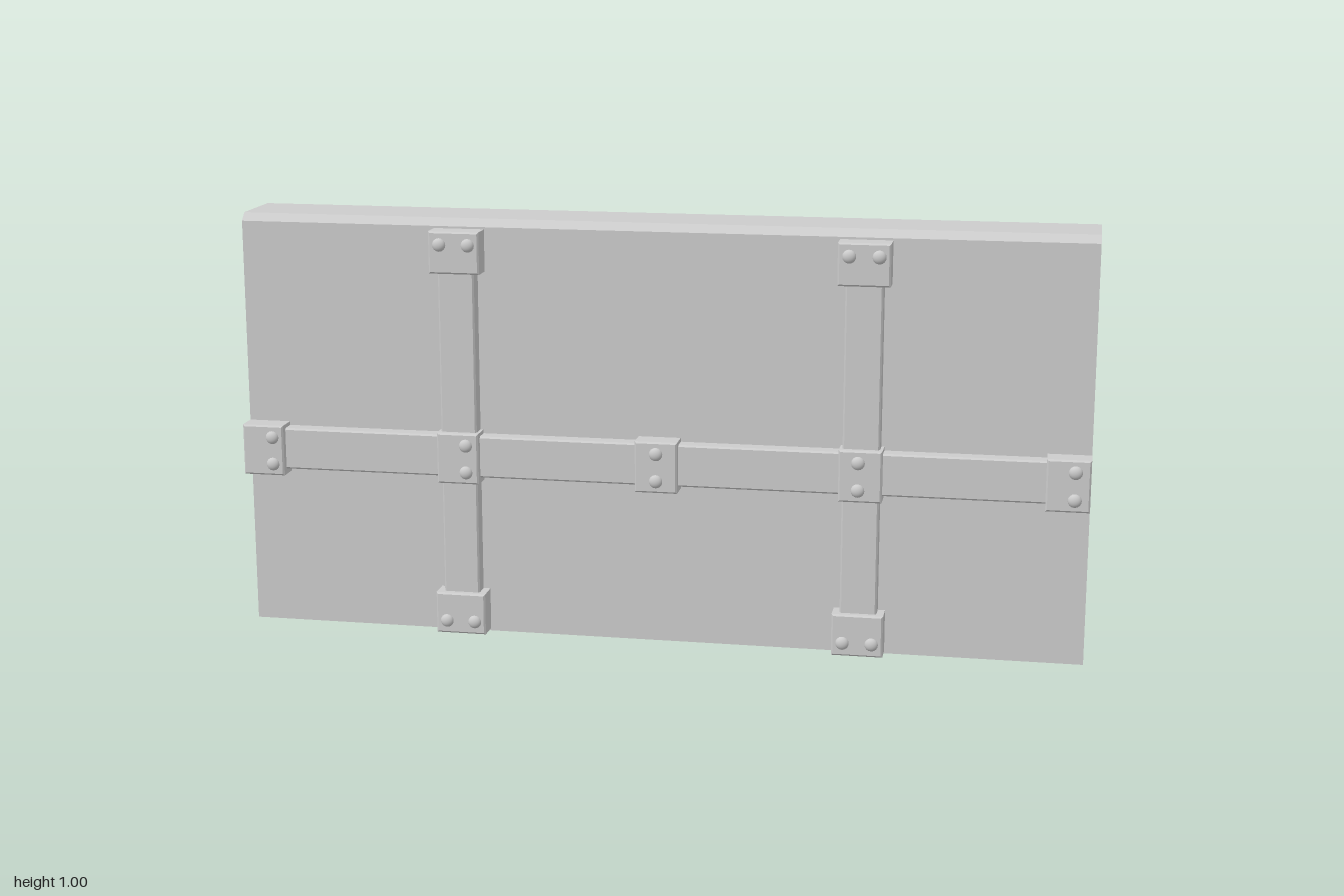
import * as THREE from 'three';

const grey = new THREE.MeshStandardMaterial({ color: 0xcccccc, flatShading: true });
const greySmooth = new THREE.MeshStandardMaterial({ color: 0xcccccc });
const greySheet = new THREE.MeshStandardMaterial({ color: 0xcccccc, flatShading: true, side: THREE.DoubleSide });

const WALL = 0.098; // distance of each sheet from the centre plane

// Box standing on z = 0 whose outer (+z) rim is chamfered by c
function chamferedBox(w, h, d, c = 0.004) {
  const geo = new THREE.BoxGeometry(w, h, d, 1, 1, 2);
  const p = geo.attributes.position;
  for (let i = 0; i < p.count; i++) {
    const z = p.getZ(i);
    if (z > d / 4) {
      p.setX(i, p.getX(i) - Math.sign(p.getX(i)) * c);
      p.setY(i, p.getY(i) - Math.sign(p.getY(i)) * c);
    } else if (Math.abs(z) < d / 4) p.setZ(i, d / 2 - c);
  }
  geo.translate(0, 0, d / 2);
  const flat = geo.toNonIndexed();
  flat.computeVertexNormals();
  return flat;
}

// Folded sheet: two walls joined by a top with chamfered edges, open at the ends and below
function foldedSheet() {
  const c = 0.018;
  const profile = [[WALL, 0], [WALL, 1 - c], [WALL - c, 1], [c - WALL, 1], [-WALL, 1 - c], [-WALL, 0]];
  const pos = [];
  for (let i = 0; i < profile.length - 1; i++) {
    const [z0, y0] = profile[i], [z1, y1] = profile[i + 1];
    pos.push(-1, y0, z0, 1, y0, z0, 1, y1, z1, -1, y0, z0, 1, y1, z1, -1, y1, z1);
  }
  const geo = new THREE.BufferGeometry();
  geo.setAttribute('position', new THREE.Float32BufferAttribute(pos, 3));
  geo.computeVertexNormals();
  return geo;
}

// Straps, brackets and rivets of one wall; s = -1 keeps x positions when the group is turned round
function strapwork(s) {
  const group = new THREE.Group();
  const boltGeo = new THREE.SphereGeometry(0.016, 16, 8, 0, Math.PI * 2, 0, Math.PI / 2);
  boltGeo.rotateX(Math.PI / 2).scale(1, 1, 0.7);

  const block = (name, x0, x1, y0, y1, d) => {
    const mesh = new THREE.Mesh(chamferedBox(x1 - x0, y1 - y0, d), grey);
    mesh.name = name;
    mesh.position.set((s * (x0 + x1)) / 2, (y0 + y1) / 2, WALL);
    group.add(mesh);
  };
  const bracket = (x0, x1, y0, y1, bolts) => {
    block('bracket', x0, x1, y0, y1, 0.054);
    for (const [x, y] of bolts) {
      const bolt = new THREE.Mesh(boltGeo, greySmooth);
      bolt.name = 'rivet';
      bolt.position.set(s * x, y, WALL + 0.053);
      group.add(bolt);
    }
  };

  // Horizontal strap and its brackets: [centre, rivet x]
  block('horizontalStrap', -0.99, 0.99, 0.39, 0.49, 0.036);
  for (const [x, bx] of [[-0.95, -0.927], [-0.47, -0.45], [0.005, 0.005], [0.48, 0.475], [0.95, 0.965]])
    bracket(x - 0.05, x + 0.05, 0.377, 0.499, [[bx, 0.47], [bx, 0.405]]);

  // Vertical straps with end brackets
  for (const x of [-0.47, 0.48]) {
    block('verticalStrap', x - 0.043, x + 0.043, 0.05, 0.93, 0.038);
    bracket(x - 0.06, x + 0.06, 0.878, 0.977, [[x - 0.034, 0.946], [x + 0.034, 0.946]]);
    bracket(x - 0.06, x + 0.06, 0.006, 0.106, [[x - 0.034, 0.037], [x + 0.034, 0.037]]);
  }
  return group;
}

export function createModel() {
  const model = new THREE.Group();
  model.name = 'reinforcedWall';

  const sheet = new THREE.Mesh(foldedSheet(), greySheet);
  sheet.name = 'foldedSheet';
  model.add(sheet);

  const front = strapwork(1);
  front.name = 'frontStrapwork';
  const back = strapwork(-1);
  back.name = 'backStrapwork';
  back.rotation.y = Math.PI;
  model.add(front, back);
  return model;
}
